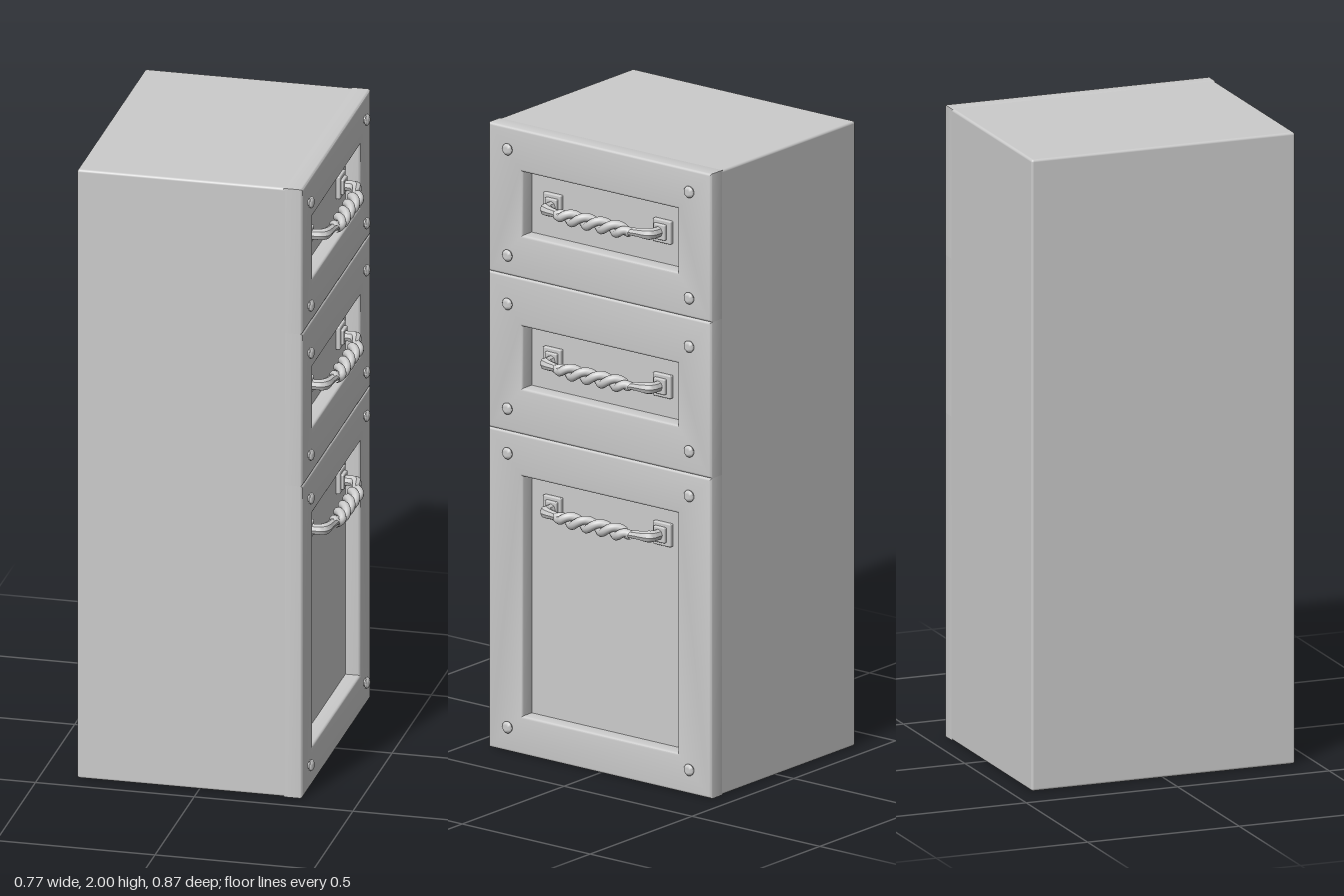
import * as THREE from 'three';
import { toCreasedNormals } from 'three/addons/utils/BufferGeometryUtils.js';
import { RoundedBoxGeometry } from 'three/addons/geometries/RoundedBoxGeometry.js';

const material = new THREE.MeshStandardMaterial({ color: 0xcccccc });
const BACK = -0.385, FACE = 0.325, FLOOR = 0.278, HALF_Z = 0.435, BEVEL = 0.008;

function add(parent, name, geometry, x = 0, y = 0, z = 0) {
  const mesh = new THREE.Mesh(geometry, material);
  mesh.name = name;
  mesh.position.set(x, y, z);
  parent.add(mesh);
  return mesh;
}

// Rectangle outline, used for both panel and opening
function rect(path, halfW, y0, y1) {
  path.moveTo(-halfW, y0);
  path.lineTo(halfW, y0);
  path.lineTo(halfW, y1);
  path.lineTo(-halfW, y1);
  path.closePath();
  return path;
}

// Bevelled frame around a recessed field, facing +x
function frameGeometry(y0, y1, open0, open1) {
  const b = BEVEL, start = 0.262;
  const shape = rect(new THREE.Shape(), HALF_Z - b, y0 + b, y1 - b);
  shape.holes.push(rect(new THREE.Path(), 0.303 + b, open0 - b, open1 + b));
  const geo = new THREE.ExtrudeGeometry(shape, {
    depth: FACE - start - 2 * b, bevelSize: b, bevelThickness: b, bevelSegments: 3,
  });
  geo.translate(0, 0, start + b).rotateY(Math.PI / 2);
  return toCreasedNormals(geo, 0.6);
}

// Tube whose radius changes along its path
function taperedTube(points, radii, sides) {
  const curve = new THREE.CatmullRomCurve3(points);
  const steps = 28;
  const geo = new THREE.TubeGeometry(curve, steps, 1, sides);
  const pos = geo.attributes.position, v = new THREE.Vector3();
  for (let i = 0; i <= steps; i++) {
    const centre = curve.getPointAt(i / steps);
    const f = (i / steps) * (radii.length - 1);
    const k = Math.min(Math.floor(f), radii.length - 2);
    const r = THREE.MathUtils.lerp(radii[k], radii[k + 1], f - k);
    for (let j = 0; j <= sides; j++) {
      const n = i * (sides + 1) + j;
      v.fromBufferAttribute(pos, n).sub(centre).multiplyScalar(r).add(centre);
      pos.setXYZ(n, v.x, v.y, v.z);
    }
  }
  return toCreasedNormals(geo, 0.7);
}

// One strand of the twisted grip; it closes in on the axis at both ends
class Strand extends THREE.Curve {
  constructor(phase) {
    super();
    this.phase = phase;
  }
  getPoint(t, target = new THREE.Vector3()) {
    const z = (t - 0.5) * 0.29;
    const r = 0.0135 * Math.min(1, Math.min(t, 1 - t) * 9);
    const a = this.phase - (z / 0.116) * Math.PI * 2;
    return target.set(0.357 + r * Math.cos(a), r * Math.sin(a), z);
  }
}

function createHandle() {
  const handle = new THREE.Group();
  handle.name = 'handle';
  for (const phase of [0, Math.PI]) {
    add(handle, 'twistedStrand', new THREE.TubeGeometry(new Strand(phase), 100, 0.0135, 10));
  }
  for (const s of [1, -1]) {
    // Stepped mounting plate, post and tapering shoulder
    add(handle, 'mountingPlate', new RoundedBoxGeometry(0.016, 0.074, 0.07, 2, 0.004), FLOOR + 0.006, 0, s * 0.215);
    add(handle, 'plateStep', new RoundedBoxGeometry(0.016, 0.05, 0.046, 2, 0.004), FLOOR + 0.016, 0, s * 0.212);
    const path = [[0.28, 0.209], [0.31, 0.209], [0.332, 0.205], [0.341, 0.188], [0.346, 0.16], [0.356, 0.115]];
    const points = path.map(([x, z]) => new THREE.Vector3(x, 0, s * z));
    add(handle, 'shoulder', taperedTube(points, [0.019, 0.017, 0.019, 0.015, 0.013, 0.014], 8));
  }
  return handle;
}

// Domed rivet head on a short neck
function rivetGeometry() {
  const profile = [[0.011, -0.004], [0.011, 0.004], [0.018, 0.005], [0.019, 0.009], [0.015, 0.014], [0.008, 0.017], [0, 0.018]];
  const geo = new THREE.LatheGeometry(profile.map(([r, h]) => new THREE.Vector2(r, h)), 16);
  return toCreasedNormals(geo.rotateZ(-Math.PI / 2), 0.7);
}

export function createModel() {
  const model = new THREE.Group();
  model.name = 'drawerCabinet';

  // Cabinet body; its front forms the floor of the recesses
  add(model, 'body', new RoundedBoxGeometry(FLOOR - BACK, 2, HALF_Z * 2, 3, BEVEL), (FLOOR + BACK) / 2, 1, 0);

  const sections = [
    { name: 'topDrawer', y0: 1.525, y1: 2, open: [1.662, 1.865], handleY: 1.767, rivets: [1.59, 1.93] },
    { name: 'middleDrawer', y0: 1.025, y1: 1.525, open: [1.172, 1.37], handleY: 1.273, rivets: [1.1, 1.435] },
    { name: 'bottomDoor', y0: 0, y1: 1.025, open: [0.123, 0.89], handleY: 0.798, rivets: [0.08, 0.957] },
  ];
  const rivet = rivetGeometry();
  for (const { name, y0, y1, open, handleY, rivets } of sections) {
    const section = new THREE.Group();
    section.name = name;
    add(section, 'frame', frameGeometry(y0, y1, ...open));
    const handle = createHandle();
    handle.position.y = handleY;
    section.add(handle);
    for (const y of rivets) {
      for (const z of [-0.355, 0.355]) add(section, 'rivet', rivet, FACE, y, z);
    }
    model.add(section);
  }
  return model;
}
